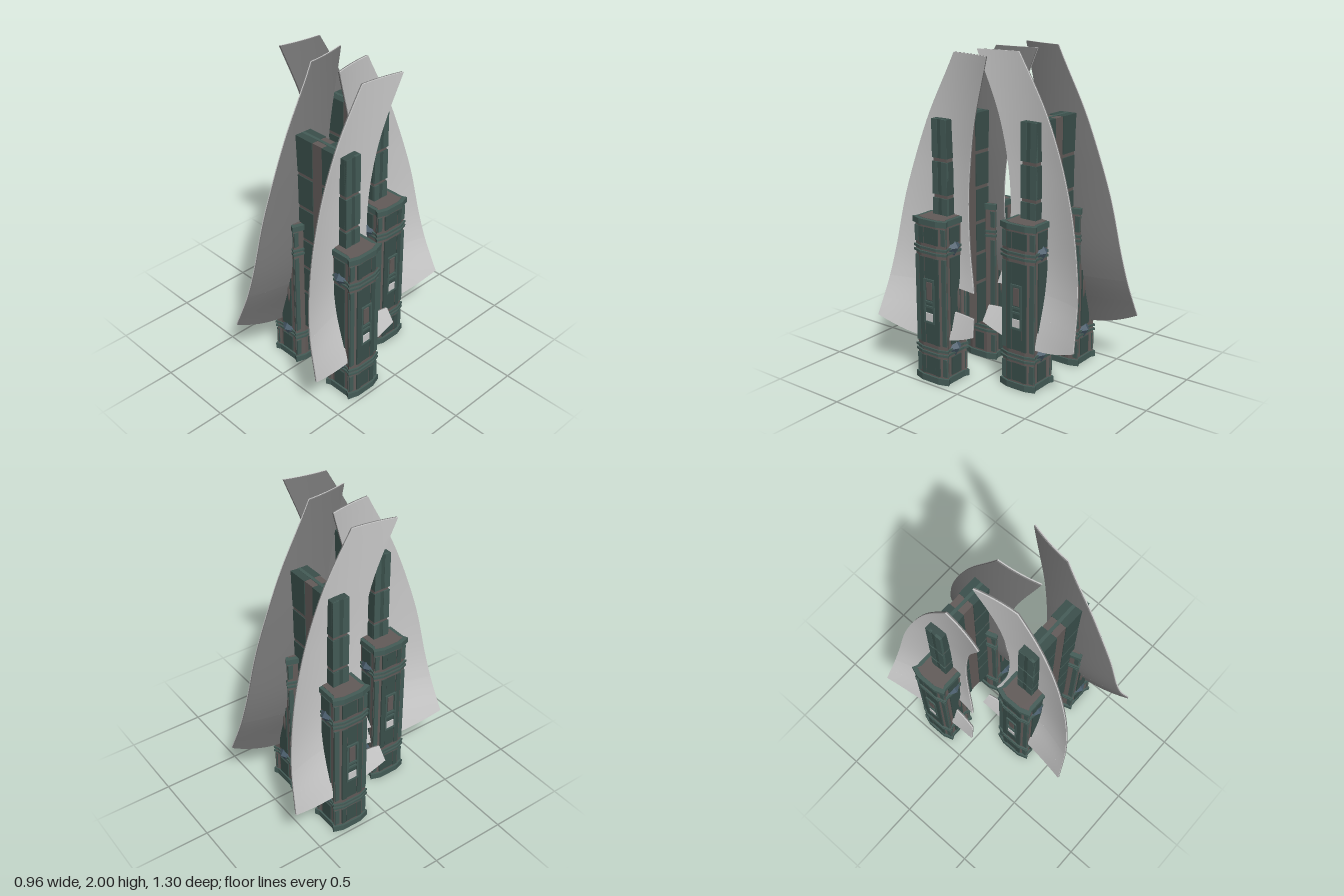
import * as THREE from 'three';
import { toCreasedNormals } from 'three/addons/utils/BufferGeometryUtils.js';

const paint = (color) => new THREE.MeshStandardMaterial({ color, side: THREE.DoubleSide });
const GREEN = paint(0x445c57), DARK = paint(0x3a4f4b), GREY = paint(0x625b59), BLUE = paint(0x4a5d6c);
const PALE = paint(0xcccccc), SHADE = paint(0x7a7a7a);

function add(parent, name, geometry, material, x = 0, y = 0, z = 0) {
  const mesh = new THREE.Mesh(geometry, material);
  mesh.name = name;
  mesh.position.set(x, y, z);
  parent.add(mesh);
  return mesh;
}
const box = (parent, name, mat, w, h, d, x, y, z) => add(parent, name, new THREE.BoxGeometry(w, h, d), mat, x, y, z);

// Smooth function through [y, value] points
function curve(p) {
  const slope = (i) => {
    const a = p[Math.max(i - 1, 0)], b = p[Math.min(i + 1, p.length - 1)];
    return (b[1] - a[1]) / (b[0] - a[0]);
  };
  return (y) => {
    let i = 0;
    while (i < p.length - 2 && y > p[i + 1][0]) i++;
    const h = p[i + 1][0] - p[i][0], t = (y - p[i][0]) / h, t2 = t * t, t3 = t2 * t;
    return p[i][1] * (2 * t3 - 3 * t2 + 1) + p[i + 1][1] * (3 * t2 - 2 * t3)
      + h * slope(i) * (t3 - 2 * t2 + t) + h * slope(i + 1) * (t3 - t2);
  };
}

// Wing outline in z, and how far the sheet stands out from the unit's middle
const outer = curve([[0.345, 0.65], [0.76, 0.59], [1.16, 0.51], [1.61, 0.35], [2, 0.14]]);
const inner = curve([[0.59, 0], [0.8, 0.05], [1.05, 0.068], [1.3, 0.055], [1.62, 0], [2, -0.125]]);
const bow = curve([[0.26, 0.29], [0.35, 0.265], [0.6, 0.195], [0.85, 0.167], [1.3, 0.165], [1.6, 0.176], [2, 0.193]]);
const hem = (z) => 0.262 + 0.68 * (z - 0.3) ** 2;
const UNIT_Z = 0.235, UNIT_X = 0.1175;

// One closed stretch of wing between two heights, lofted from rings
function wingPatch(side, y0, y1, rows, zIn, hemmed, near, far) {
  const n = 14, pos = [], idx = [], ring = 2 * (n + 1);
  for (let r = 0; r <= rows; r++) {
    const v = r / rows, level = y0 + (y1 - y0) * v;
    for (let k = 0; k < ring; k++) {
      const back = k > n, u = (back ? ring - 1 - k : k) / n;
      const z = zIn(level) + (outer(level) - zIn(level)) * u;
      const y = hemmed ? hem(z) + (y1 - hem(z)) * v : level;
      const x = bow(y) + 0.45 * (z - 0.2) ** 2 + (back ? far : near);
      pos.push(side * x, y, z - UNIT_Z);
    }
  }
  const quad = (a, b, c, d) => side > 0 ? idx.push(a, c, b, a, d, c) : idx.push(a, b, c, a, c, d);
  for (let r = 0; r < rows; r++)
    for (let k = 0; k < ring; k++) {
      const k2 = (k + 1) % ring;
      quad(r * ring + k, r * ring + k2, (r + 1) * ring + k2, (r + 1) * ring + k);
    }
  const top = rows * ring;
  for (let k = 0; k < n; k++) {
    quad(k, ring - 1 - k, ring - 2 - k, k + 1);
    quad(top + k, top + k + 1, top + ring - 2 - k, top + ring - 1 - k);
  }
  const g = new THREE.BufferGeometry();
  g.setAttribute('position', new THREE.Float32BufferAttribute(pos, 3));
  g.setIndex(idx);
  return toCreasedNormals(g, 0.7);
}

function makeWing(side) {
  const wing = new THREE.Group();
  wing.name = side > 0 ? 'leftWing' : 'rightWing';
  for (const [label, mat, near, far] of [['Inside', SHADE, -0.007, 0], ['Outside', PALE, 0, 0.007]]) {
    add(wing, 'wingTab' + label, wingPatch(side, 0.345, 0.45, 4, (y) => -0.055 + (y - 0.345) * 0.2, true, near, far), mat);
    add(wing, 'wingRoot' + label, wingPatch(side, 0.45, 0.59, 4, () => 0.13, false, near, far), mat);
    add(wing, 'wingBlade' + label, wingPatch(side, 0.59, 2, 24, inner, false, near, far), mat);
  }
  return wing;
}

// Column cross-section with flared corners, extruded upward
function columnSlice(s, h) {
  const q = [[0.12, 0.065], [0.098, 0.13], [0.07, 0.116]];
  const pts = [...q, ...q.map(([x, z]) => [-x, z]).reverse(),
    ...q.map(([x, z]) => [-x, -z]), ...q.map(([x, z]) => [x, -z]).reverse()];
  const shape = new THREE.Shape(pts.map(([x, z]) => new THREE.Vector2(x * s, z * s)));
  return new THREE.ExtrudeGeometry(shape, { depth: h, bevelEnabled: false }).rotateX(-Math.PI / 2);
}

// Column whose outer face looks along +x
function makeColumn() {
  const col = new THREE.Group();
  col.name = 'column';
  add(col, 'shaft', columnSlice(0.9, 1.0), GREY, 0, 0.015, 0);
  add(col, 'foot', columnSlice(1, 0.04), GREEN);
  add(col, 'capital', columnSlice(1, 0.035), GREEN, 0, 1, 0);
  add(col, 'capInset', columnSlice(0.8, 0.004), GREY, 0, 1.033, 0);
  for (const y of [0.205, 0.845]) {
    add(col, 'band', columnSlice(0.98, 0.014), GREEN, 0, y - 0.022, 0);
    add(col, 'band', columnSlice(0.98, 0.014), GREEN, 0, y + 0.006, 0);
    for (const s of [-1, 1])
      add(col, 'diamondBoss', new THREE.OctahedronGeometry(1), BLUE, 0, y + 0.012, s * 0.1).scale.set(0.068, 0.06, 0.036);
  }
  // Facing panels between the bands
  for (const [y0, y1] of [[0.05, 0.165], [0.25, 0.8], [0.885, 0.985]]) {
    const h = y1 - y0, y = (y0 + y1) / 2;
    for (const s of [-1, 1]) {
      box(col, 'facePanel', DARK, 0.085, h, 0.012, 0, y, s * 0.106);
      box(col, 'cornerPilaster', GREEN, 0.022, h, 0.03, 0.088, y, s * 0.1);
      box(col, 'cornerPilaster', GREEN, 0.022, h, 0.03, -0.088, y, s * 0.1);
      box(col, 'sidePanel', DARK, 0.012, h, 0.032, 0.107, y, s * 0.055);
      box(col, 'sidePanel', DARK, 0.012, h, 0.07, s * 0.103, y, 0);
    }
  }
  // Framed window in the outer face
  for (const s of [-1, 1]) box(col, 'windowPost', GREEN, 0.012, 0.28, 0.012, 0.112, 0.525, s * 0.036);
  for (const y of [0.39, 0.49, 0.52, 0.66]) box(col, 'windowBar', GREEN, 0.012, 0.012, 0.08, 0.112, y, 0);
  box(col, 'windowInset', GREY, 0.006, 0.11, 0.04, 0.112, 0.59, 0);
  box(col, 'windowLight', PALE, 0.006, 0.05, 0.058, 0.112, 0.423, 0);
  return col;
}

// Tall plated wall between the columns
function makeWall() {
  const wall = new THREE.Group();
  wall.name = 'wall';
  box(wall, 'wallCore', GREY, 0.448, 1.336, 0.1, 0, 0.94, 0);
  const levels = [0.27, 0.55, 0.74, 0.94, 1.16, 1.38, 1.61];
  for (let i = 0; i < levels.length - 1; i++) {
    const h = levels[i + 1] - levels[i] - (i < 5 ? 0.022 : 0), y = levels[i] + h / 2;
    for (const s of [-1, 1]) {
      box(wall, 'wallPlate', DARK, 0.192, h, 0.11, s * 0.136, y, 0);
      for (const t of [-1, 1]) box(wall, 'edgeRib', GREEN, 0.016, h, 0.042, s * 0.226, y, t * 0.034);
    }
  }
  box(wall, 'topRidge', GREEN, 0.36, 0.004, 0.02, 0, 1.609, 0);
  return wall;
}

function makeUnit() {
  const unit = new THREE.Group();
  unit.name = 'unit';
  unit.add(makeWall());
  for (const side of [1, -1]) {
    const col = makeColumn();
    col.position.x = side * 0.235;
    if (side < 0) col.rotation.y = Math.PI;
    unit.add(col, makeWing(side));
    // Swelling where the wing enters the column
    add(unit, 'wingSocket', new THREE.SphereGeometry(1, 16, 12), GREY, side * 0.21, 0.52, 0).scale.set(0.025, 0.21, 0.124);
  }
  return unit;
}

export function createModel() {
  const model = new THREE.Group();
  model.name = 'twinTower';
  // Two identical units, the rear one turned half round
  for (const s of [1, -1]) {
    const unit = makeUnit();
    unit.position.set(s * UNIT_X, 0, s * UNIT_Z);
    if (s < 0) unit.rotation.y = Math.PI;
    model.add(unit);
  }
  return model;
}
